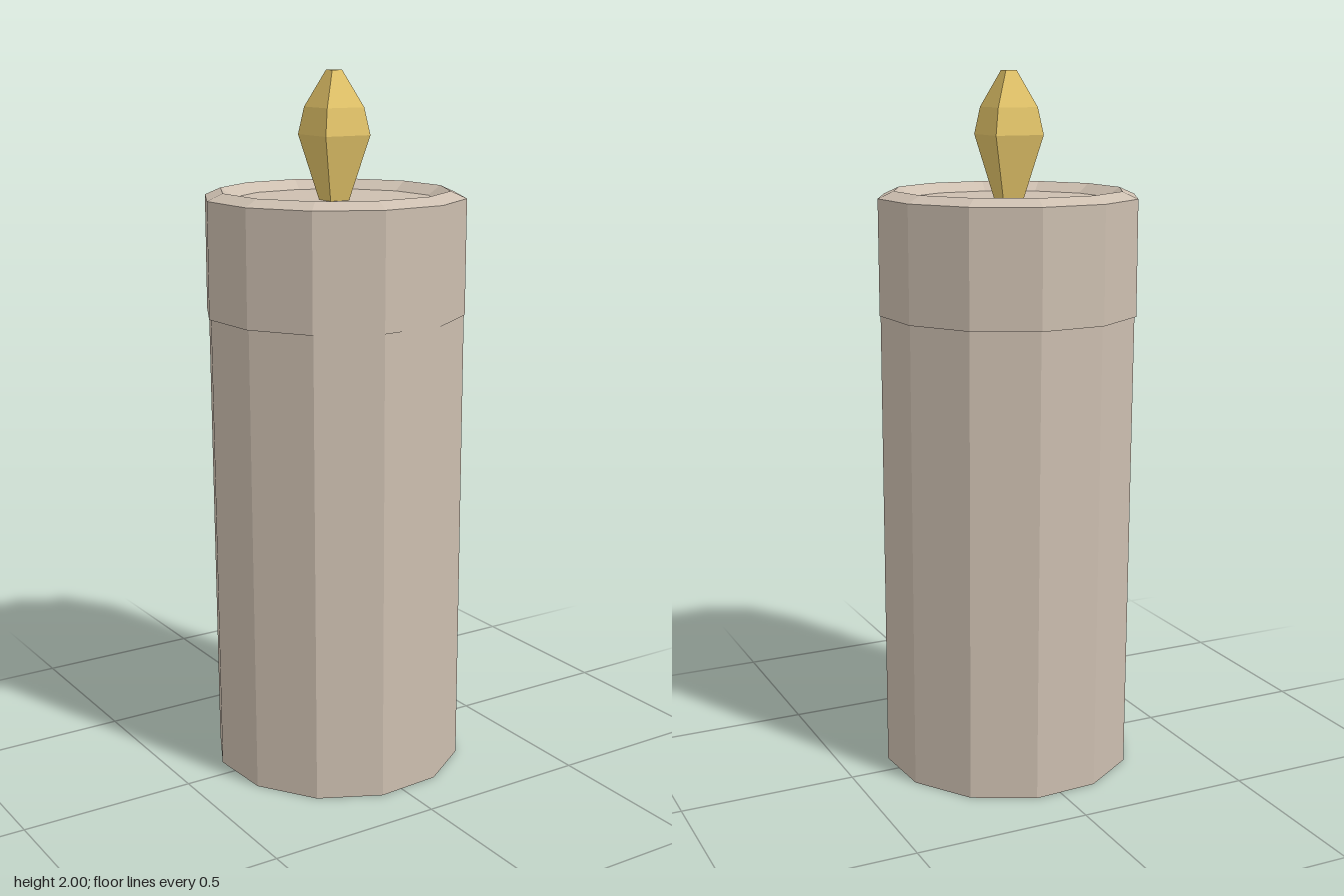
import * as THREE from 'three';

const wax = new THREE.MeshStandardMaterial({ color: 0xcdbfb0, flatShading: true });
const fire = new THREE.MeshStandardMaterial({ color: 0xe3c469, flatShading: true });

// Faceted turned part from [radius, height] pairs, listed from bottom to top
function turned(name, profile, sides, startDeg, material) {
  const points = profile.map(([r, y]) => new THREE.Vector2(r, y));
  const geometry = new THREE.LatheGeometry(points, sides, THREE.MathUtils.degToRad(startDeg));
  const mesh = new THREE.Mesh(geometry, material);
  mesh.name = name;
  return mesh;
}

export function createModel() {
  const candle = new THREE.Group();
  candle.name = 'candle';

  // Lower wax column, leaning very slightly
  const body = turned('candleBody', [[0, 0], [0.362, 0], [0.366, 1.335]], 12, 18.6, wax);
  const pos = body.geometry.attributes.position;
  for (let i = 0; i < pos.count; i++) {
    const lean = 0.004 * (1 - pos.getY(i) / 1.335);
    pos.setX(i, pos.getX(i) + lean);
    pos.setZ(i, pos.getZ(i) + lean);
  }
  candle.add(body);

  // Upper wax section with bevelled rim and shallow recessed floor
  const rim = turned('candleRim', [
    [0.36, 1.33], [0.37, 1.33], [0.37, 1.655], [0.325, 1.675], [0.287, 1.648], [0, 1.645],
  ], 12, 18.6, wax);
  rim.position.set(-0.001, 0, -0.001);
  candle.add(rim);

  // Four-sided flame; half-widths become corner radii
  const flameProfile = [[0, 1.635], [0.028, 1.635], [0.0725, 1.825], [0.06, 1.9], [0.016, 2], [0, 2]]
    .map(([half, y]) => [half * Math.SQRT2, y]);
  const flame = turned('flame', flameProfile, 4, 45, fire);
  flame.position.set(-0.002, 0, -0.001);
  candle.add(flame);

  return candle;
}
